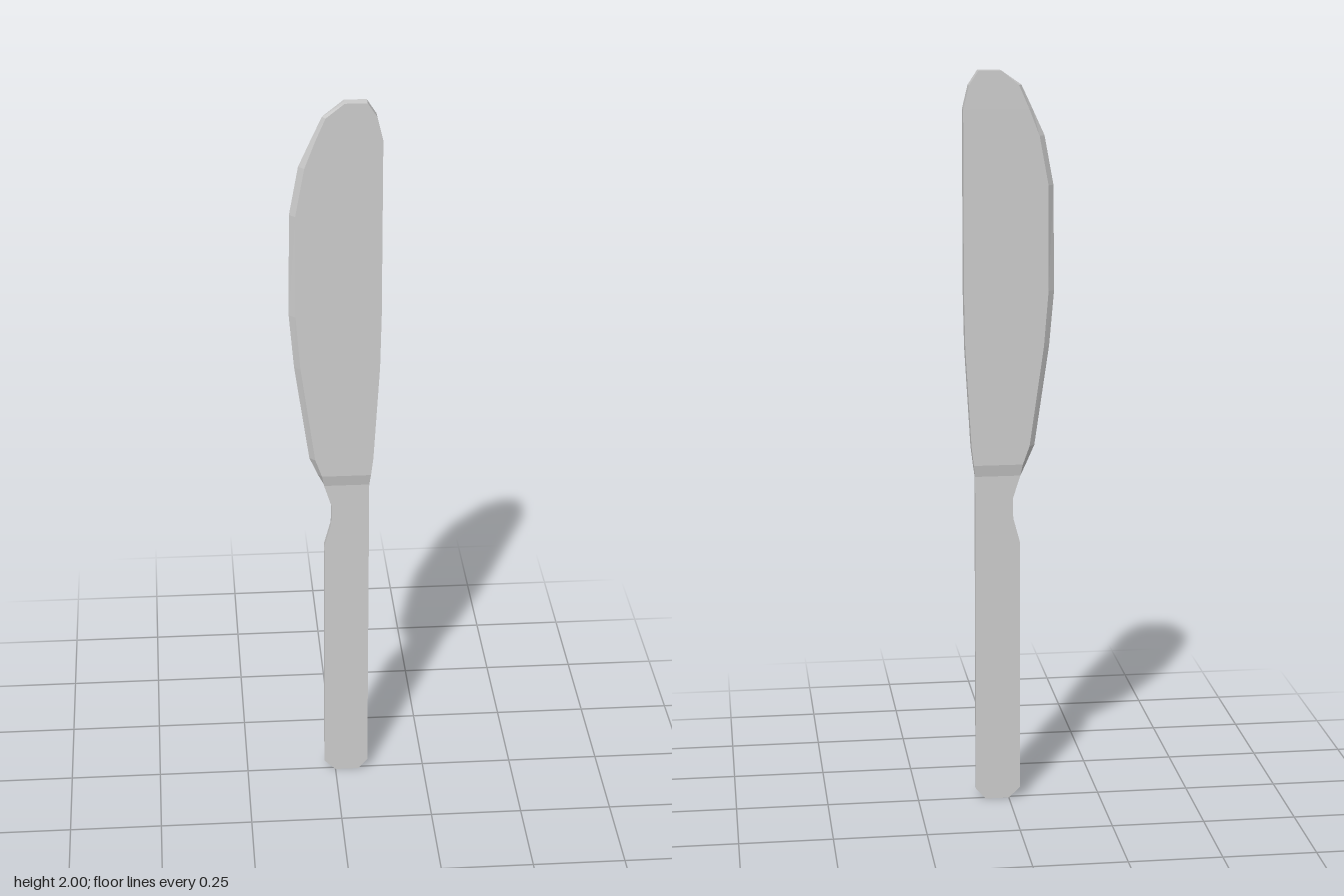
import * as THREE from 'three';

// Each section: [height, cutting edge x, bevel shoulder x, spine x, half thickness]
const HANDLE = [
  [0, 0, 0, 0.065, 0.009],
  [0.03, -0.031, -0.031, 0.091, 0.009],
  [0.73, -0.031, -0.031, 0.091, 0.009],
  [0.8, -0.012, -0.012, 0.091, 0.009],
  [0.855, -0.011, -0.011, 0.091, 0.009],
  [0.918, -0.031, -0.031, 0.091, 0.009],
];
const BLADE = [
  [0.918, -0.031, -0.031, 0.091, 0.009],
  [0.95, -0.048, -0.037, 0.095, 0.0158],
  [1.0, -0.07, -0.055, 0.101, 0.0158],
  [1.27, -0.109, -0.093, 0.117, 0.0158],
  [1.42, -0.122, -0.105, 0.12, 0.0158],
  [1.7, -0.119, -0.104, 0.12, 0.0158],
  [1.83, -0.095, -0.08, 0.12, 0.0158],
  [1.9, -0.063, -0.053, 0.12, 0.0158],
  [1.962, -0.034, -0.026, 0.105, 0.0158],
  [2.0, 0.02, 0.022, 0.08, 0.0158],
];

// Five-sided ring: edge, front shoulder, front spine, back spine, back shoulder
function ring([y, edge, shoulder, spine, h]) {
  return [[edge, y, 0], [shoulder, y, h], [spine, y, h], [spine, y, -h], [shoulder, y, -h]];
}

function loft(name, sections, capBottom, capTop) {
  const rings = sections.map(ring);
  const pos = [];
  const tri = (a, b, c) => pos.push(...a, ...b, ...c);
  for (let i = 0; i < rings.length - 1; i++) {
    const lo = rings[i], hi = rings[i + 1];
    for (let j = 0; j < 5; j++) {
      const k = (j + 1) % 5;
      tri(lo[j], lo[k], hi[k]);
      tri(lo[j], hi[k], hi[j]);
    }
  }
  const first = rings[0], last = rings[rings.length - 1];
  for (let j = 1; j < 4; j++) {
    if (capBottom) tri(first[0], first[j + 1], first[j]);
    if (capTop) tri(last[0], last[j], last[j + 1]);
  }
  const geo = new THREE.BufferGeometry();
  geo.setAttribute('position', new THREE.Float32BufferAttribute(pos, 3));
  geo.computeVertexNormals();
  const mesh = new THREE.Mesh(geo, new THREE.MeshStandardMaterial({ color: 0xcccccc, flatShading: true }));
  mesh.name = name;
  return mesh;
}

export function createModel() {
  const group = new THREE.Group();
  group.name = 'tableKnife';
  group.add(loft('handle', HANDLE, true, false), loft('blade', BLADE, false, true));
  return group;
}
